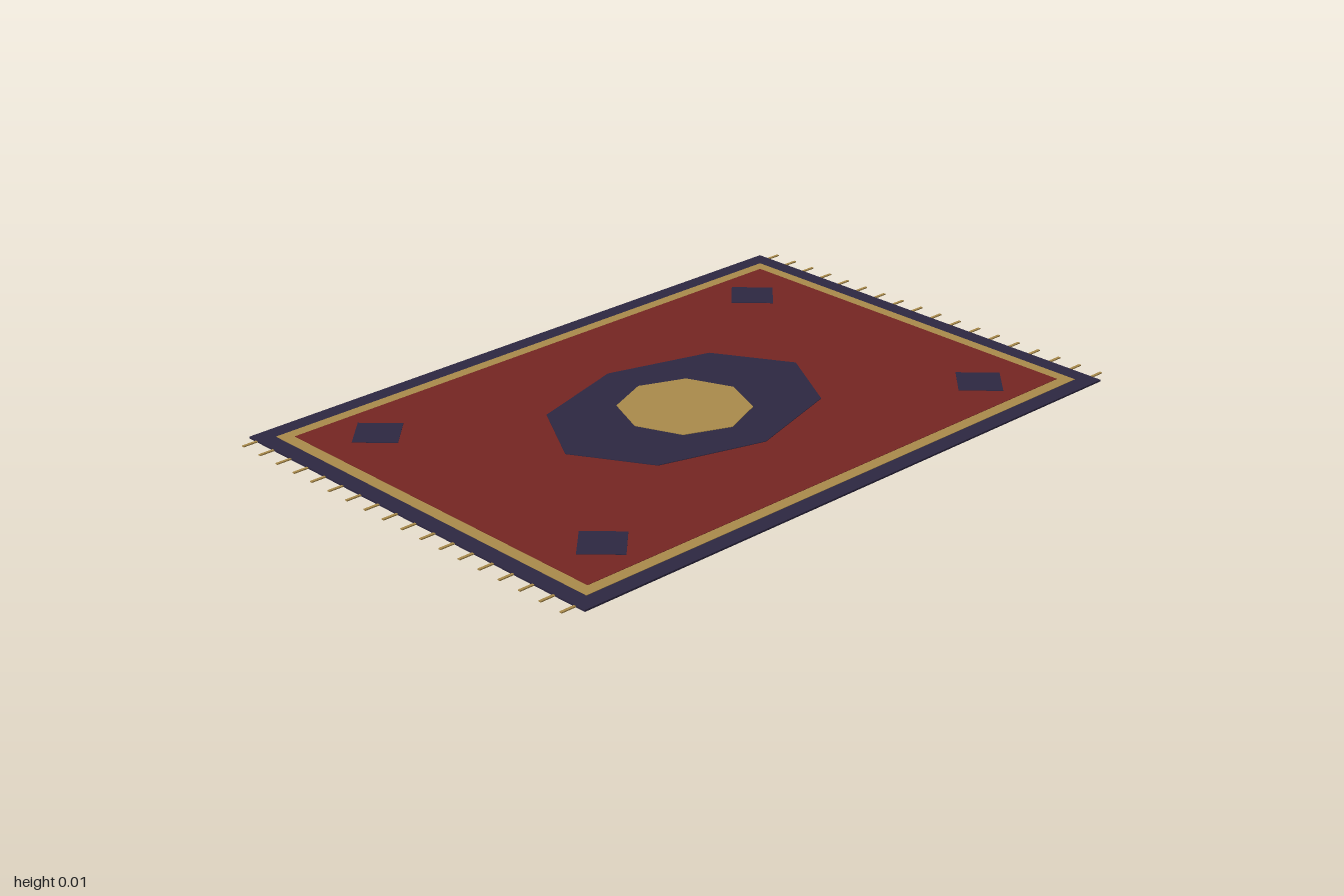
import * as THREE from 'three';

const paint = (color) => new THREE.MeshStandardMaterial({ color, flatShading: true });

export function createModel() {
  const rug = new THREE.Group();
  rug.name = 'rug';
  const navy = paint(0x2d2741);
  const gold = paint(0xa8894a);
  const red = paint(0x742522);

  const add = (name, geometry, material, x, y, z) => {
    const mesh = new THREE.Mesh(geometry, material);
    mesh.name = name;
    mesh.position.set(x, y, z);
    rug.add(mesh);
    return mesh;
  };

  // Rectangular woven layer between two heights
  const layer = (name, halfX, halfZ, bottom, top, material) =>
    add(name, new THREE.BoxGeometry(halfX * 2, top - bottom, halfZ * 2), material, 0, (bottom + top) / 2, 0);

  // Flat polygon motif between two heights, with corners on the axes
  const motif = (name, rx, rz, sides, x, z, bottom, top, material) => {
    const geometry = new THREE.CylinderGeometry(1, 1, top - bottom, sides).scale(rx, 1, rz);
    return add(name, geometry, material, x, (bottom + top) / 2, z);
  };

  layer('border', 0.955, 0.66, 0, 0.005, navy);
  layer('trim', 0.905, 0.61, 0.003, 0.006, gold);
  layer('field', 0.87, 0.575, 0.004, 0.007, red);

  // Central medallion
  motif('medallion', 0.43, 0.307, 8, 0, 0, 0.005, 0.0085, navy);
  motif('medallionCentre', 0.184, 0.184, 8, 0, 0, 0.006, 0.01, gold);

  for (const sx of [-1, 1]) {
    // Corner diamonds
    for (const sz of [-1, 1]) {
      motif('cornerDiamond', 0.086, 0.086, 4, sx * 0.7, sz * 0.44, 0.005, 0.0085, navy);
    }
    // Fringe strands along the short ends
    for (let i = 0; i < 18; i++) {
      const z = -0.626 + (i * 1.252) / 17;
      add('fringeStrand', new THREE.BoxGeometry(0.06, 0.003, 0.008), gold, sx * 0.97, 0.0025, z);
    }
  }
  return rug;
}
